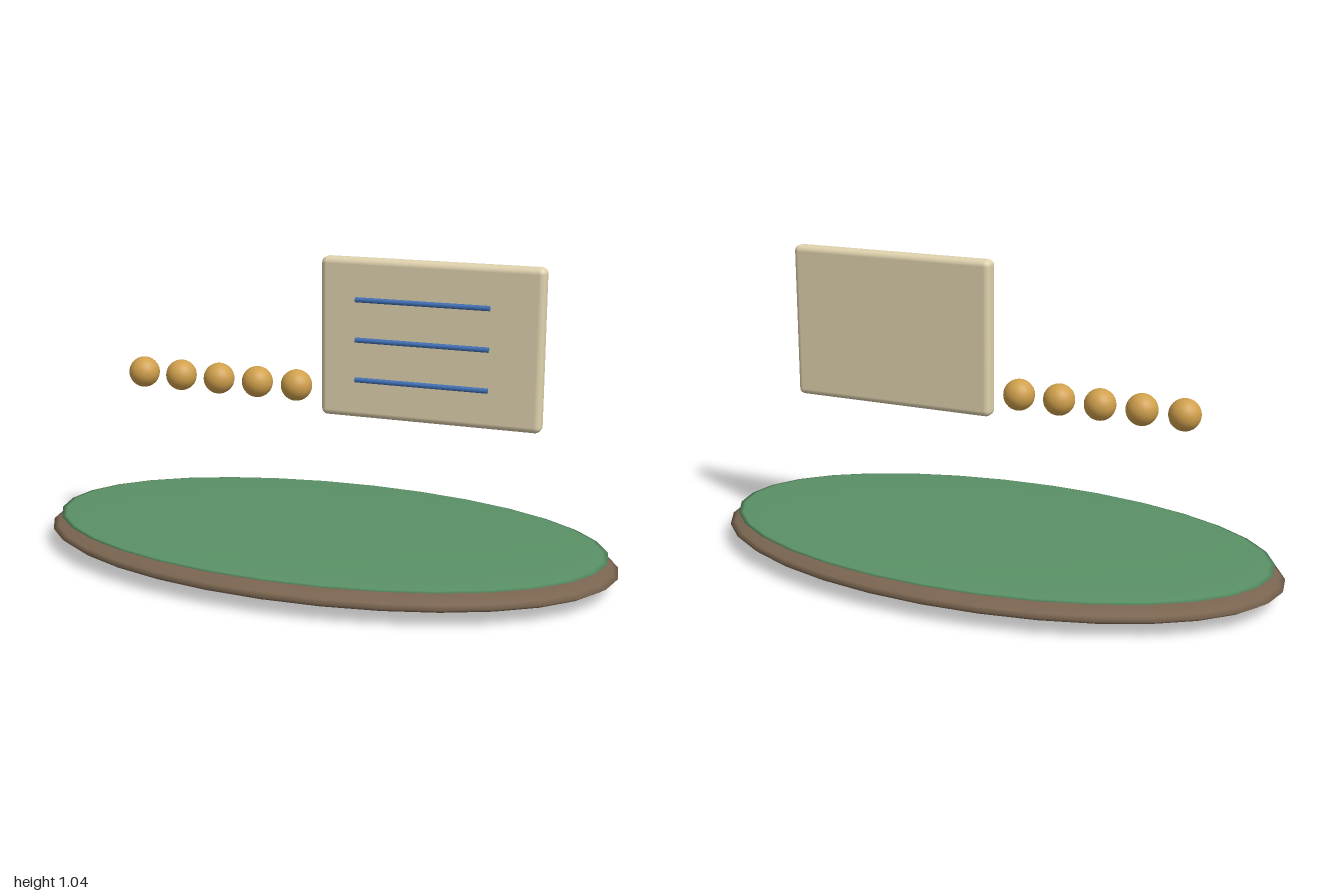
import * as THREE from 'three';
import { RoundedBoxGeometry } from 'three/addons/geometries/RoundedBoxGeometry.js';

export function createModel() {
  const model = new THREE.Group();
  model.name = 'floatingSignIsland';

  const material = (color) => new THREE.MeshStandardMaterial({ color });
  const earth = material(0x7a6550);
  const grass = material(0x5a9166);
  const cream = material(0xe0d2ae);
  const gold = material(0xd0a04c);
  const blue = material(0x4272b8);

  const add = (name, geometry, mat, x, y, z, parent = model) => {
    const mesh = new THREE.Mesh(geometry, mat);
    mesh.name = name;
    mesh.position.set(x, y, z);
    parent.add(mesh);
    return mesh;
  };

  // Flattened oval base with a thinner green disc on top
  const oval = (rx, ry, rz) => new THREE.SphereGeometry(1, 32, 16).scale(rx, ry, rz);
  add('base', oval(1, 0.06, 0.545), earth, 0, 0.06, 0);
  add('greenTop', oval(0.965, 0.016, 0.526), grass, 0, 0.106, 0);

  // Row of beads
  const beads = new THREE.Group();
  beads.name = 'beads';
  model.add(beads);
  const beadGeometry = new THREE.SphereGeometry(0.0525, 24, 16);
  for (let i = 0; i < 5; i++) {
    add('bead', beadGeometry, gold, -0.66 + i * 0.1415, 0.598, 0, beads);
  }

  // Upright panel with three rods in front of it
  add('panel', new RoundedBoxGeometry(0.735, 0.524, 0.058, 4, 0.02), cream, 0.37, 0.775, 0);
  const rods = new THREE.Group();
  rods.name = 'panelLines';
  model.add(rods);
  const rodGeometry = new THREE.CylinderGeometry(0.0085, 0.0085, 0.442, 8).rotateZ(Math.PI / 2);
  for (let i = 0; i < 3; i++) {
    add('panelLine', rodGeometry, blue, 0.348, 0.643 + i * 0.1315, 0.04, rods);
  }

  return model;
}
